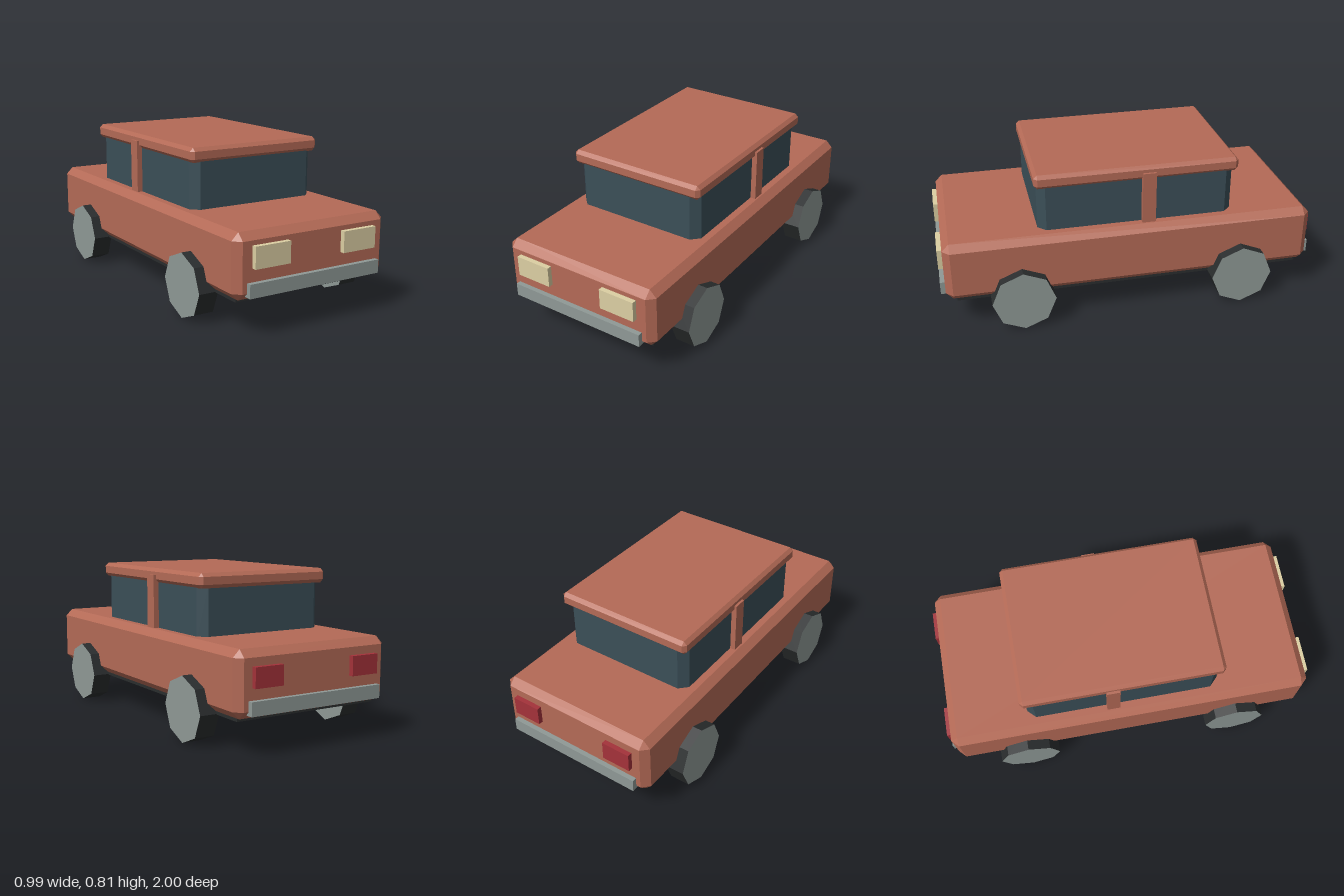
import * as THREE from 'three';
import { ConvexGeometry } from 'three/addons/geometries/ConvexGeometry.js';

const mat = (color) => new THREE.MeshStandardMaterial({ color, flatShading: true });

// Box with every edge and corner cut flat by c, centred on the origin
function chamferBox(w, h, d, c) {
  const points = [];
  const [x, y, z] = [w / 2, h / 2, d / 2];
  for (const sx of [-1, 1]) for (const sy of [-1, 1]) for (const sz of [-1, 1]) {
    points.push(
      new THREE.Vector3(sx * x, sy * (y - c), sz * (z - c)),
      new THREE.Vector3(sx * (x - c), sy * y, sz * (z - c)),
      new THREE.Vector3(sx * (x - c), sy * (y - c), sz * z),
    );
  }
  return new ConvexGeometry(points);
}

export function createModel() {
  const car = new THREE.Group();
  car.name = 'car';

  const paint = mat(0xb46a56);
  const glass = mat(0x3b4f58);
  const rubber = mat(0x2a2d2e);
  const metal = mat(0x8f9996);
  const lamp = mat(0xdccfa3);
  const red = mat(0xa4323a);

  // Adds a box given by its min and max corners, chamfered when c > 0
  function box(name, material, [x0, y0, z0], [x1, y1, z1], c = 0) {
    const size = [x1 - x0, y1 - y0, z1 - z0];
    const geometry = c ? chamferBox(...size, c) : new THREE.BoxGeometry(...size);
    const mesh = new THREE.Mesh(geometry, material);
    mesh.name = name;
    mesh.position.set((x0 + x1) / 2, (y0 + y1) / 2, (z0 + z1) / 2);
    car.add(mesh);
  }

  // Main volumes
  box('body', paint, [-0.442, 0.178, -0.975], [0.442, 0.497, 0.975], 0.037);
  box('underbody', rubber, [-0.405, 0.162, -0.92], [0.405, 0.2, 0.92]);
  box('cabinGlass', glass, [-0.367, 0.44, -0.55], [0.367, 0.795, 0.483], 0.042);
  box('roof', paint, [-0.383, 0.734, -0.57], [0.383, 0.809, 0.497], 0.018);

  // Bumpers
  box('frontBumper', metal, [-0.38, 0.197, 0.95], [0.38, 0.265, 1]);
  box('rearBumper', metal, [-0.38, 0.197, -1], [0.38, 0.265, -0.95]);

  // Paired parts on each side
  const wheelGeometry = new THREE.CylinderGeometry(0.165, 0.165, 0.105, 8);
  wheelGeometry.rotateZ(Math.PI / 2);
  for (const [side, s] of [['left', 1], ['right', -1]]) {
    const pair = (name, material, x0, x1, y0, y1, z0, z1) =>
      box(side + name, material, [Math.min(s * x0, s * x1), y0, z0], [Math.max(s * x0, s * x1), y1, z1]);

    pair('DoorPillar', paint, 0.34, 0.396, 0.45, 0.774, -0.127, -0.056);
    pair('Headlight', lamp, 0.157, 0.352, 0.33, 0.437, 0.95, 1);
    pair('TailLight', red, 0.205, 0.36, 0.322, 0.42, -1, -0.95);

    // Eight-sided wheels: dark tread with metal faces
    for (const [end, z] of [['Front', 0.585], ['Rear', -0.585]]) {
      const wheel = new THREE.Mesh(wheelGeometry, [rubber, metal, metal]);
      wheel.name = side + end + 'Wheel';
      wheel.position.set(s * 0.442, 0.165, z);
      car.add(wheel);
    }
  }
  return car;
}
